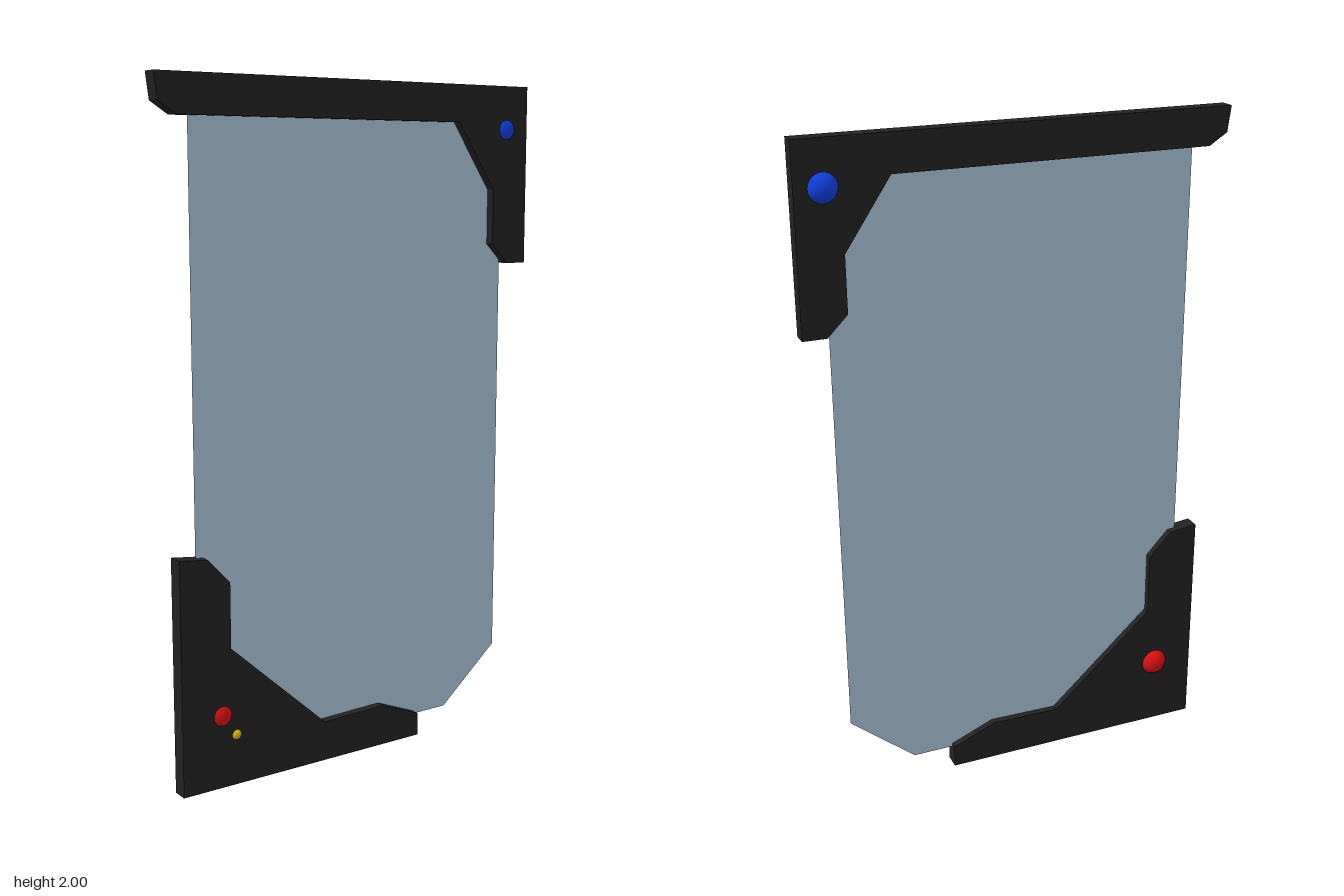
import * as THREE from 'three';

const material = (color, side = THREE.FrontSide) => new THREE.MeshStandardMaterial({ color, side });

const outline = (points) => new THREE.Shape(points.map(([x, y]) => new THREE.Vector2(x, y)));

export function createModel() {
  const model = new THREE.Group();
  const add = (name, geometry, mat, x = 0, y = 0, z = 0) => {
    const mesh = new THREE.Mesh(geometry, mat);
    mesh.name = name;
    mesh.position.set(x, y, z);
    model.add(mesh);
  };

  // Dark corner brackets, cut from flat plate
  const dark = material(0x222222);
  const plate = { depth: 0.048, bevelEnabled: false };
  const brackets = {
    topBracket: [
      [-0.64, 2], [-0.63, 1.925], [-0.575, 1.89], [0.375, 1.89], [0.51, 1.69],
      [0.51, 1.525], [0.57, 1.465], [0.64, 1.465], [0.64, 2],
    ],
    bottomBracket: [
      [-0.595, 0], [0.235, 0], [0.235, 0.07], [0.1, 0.125], [-0.115, 0.12],
      [-0.435, 0.41], [-0.435, 0.605], [-0.505, 0.68], [-0.595, 0.69],
    ],
  };
  for (const [name, points] of Object.entries(brackets)) {
    add(name, new THREE.ExtrudeGeometry(outline(points), plate), dark, 0, 0, -0.018);
  }

  // Paper-thin pane with clipped lower corners, held inside the brackets
  const pane = outline([
    [-0.53, 1.94], [-0.53, 0.23], [-0.36, 0.06], [0.36, 0.06], [0.56, 0.23], [0.56, 1.94],
  ]);
  add('glassPane', new THREE.ShapeGeometry(pane), material(0xabc5dd, THREE.DoubleSide), 0, 0, 0.003);

  // Round indicator lights set through the brackets
  const lights = [
    ['blueLight', 0x1040e0, 0.044, 0.56, 1.87, -0.003],
    ['redLight', 0xdd1111, 0.044, -0.465, 0.215, -0.003],
    ['yellowLight', 0xddbb11, 0.0165, -0.42, 0.15, 0.023],
  ];
  for (const [name, color, radius, x, y, z] of lights) {
    add(name, new THREE.SphereGeometry(radius, 32, 16), material(color), x, y, z);
  }

  return model;
}
